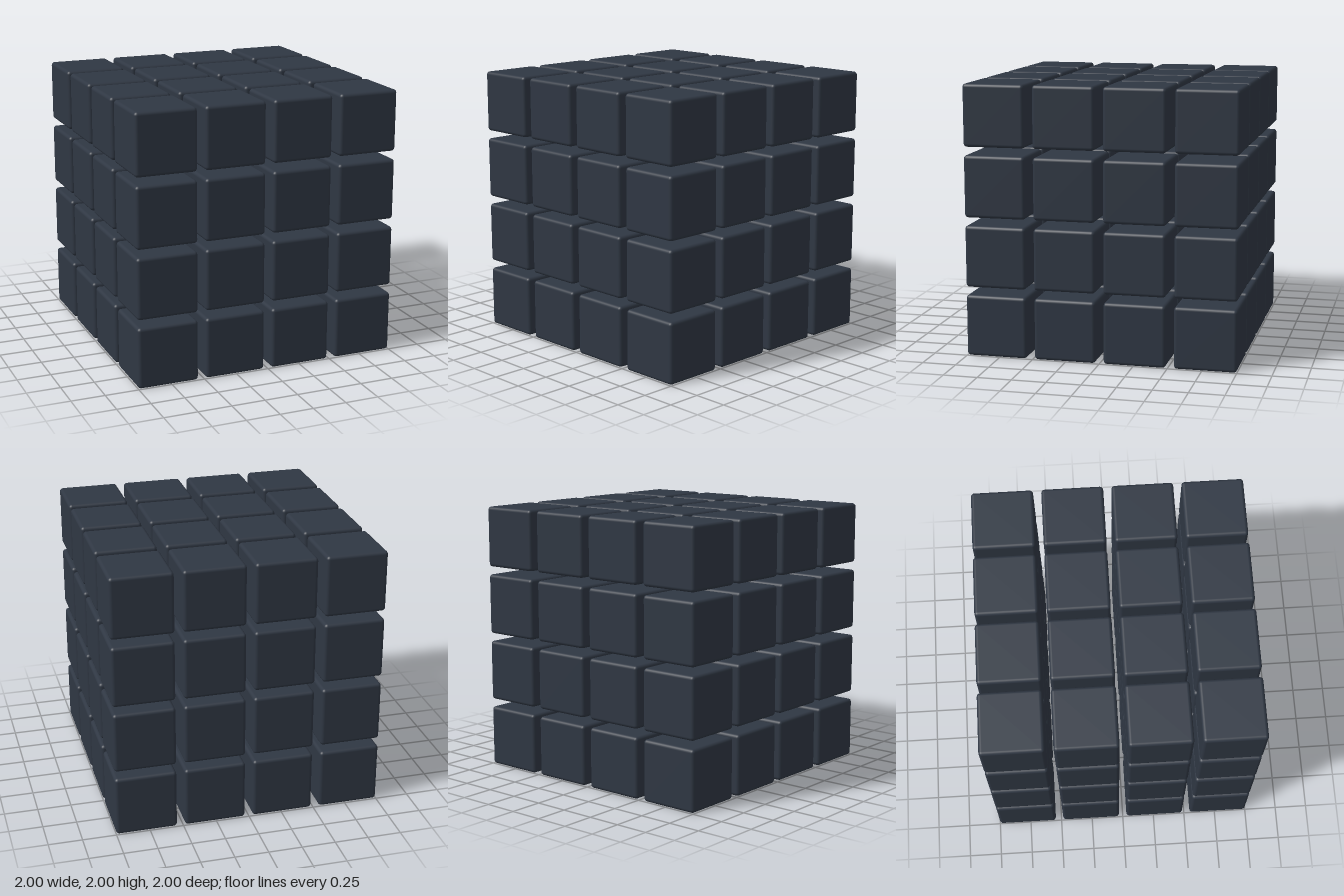
import * as THREE from 'three';
import { RoundedBoxGeometry } from 'three/addons/geometries/RoundedBoxGeometry.js';

const COUNT = 4;      // blocks along each axis
const SIZE = 0.455;   // edge of one block
const PITCH = 0.515;  // spacing between block centres
const RADIUS = 0.025; // rounding of the block edges

export function createModel() {
  const model = new THREE.Group();
  model.name = 'blockGrid';

  const material = new THREE.MeshStandardMaterial({ color: 0x2f3743 });
  const geometry = new RoundedBoxGeometry(SIZE, SIZE, SIZE, 3, RADIUS);
  const centred = (i) => (i - (COUNT - 1) / 2) * PITCH;

  // One group per horizontal layer, each a square of separate rounded blocks
  for (let j = 0; j < COUNT; j++) {
    const layer = new THREE.Group();
    layer.name = `layer${j + 1}`;
    layer.position.y = SIZE / 2 + j * PITCH;
    for (let i = 0; i < COUNT; i++) {
      for (let k = 0; k < COUNT; k++) {
        const block = new THREE.Mesh(geometry, material);
        block.name = `block${i + 1}_${j + 1}_${k + 1}`;
        block.position.set(centred(i), 0, centred(k));
        layer.add(block);
      }
    }
    model.add(layer);
  }
  return model;
}
